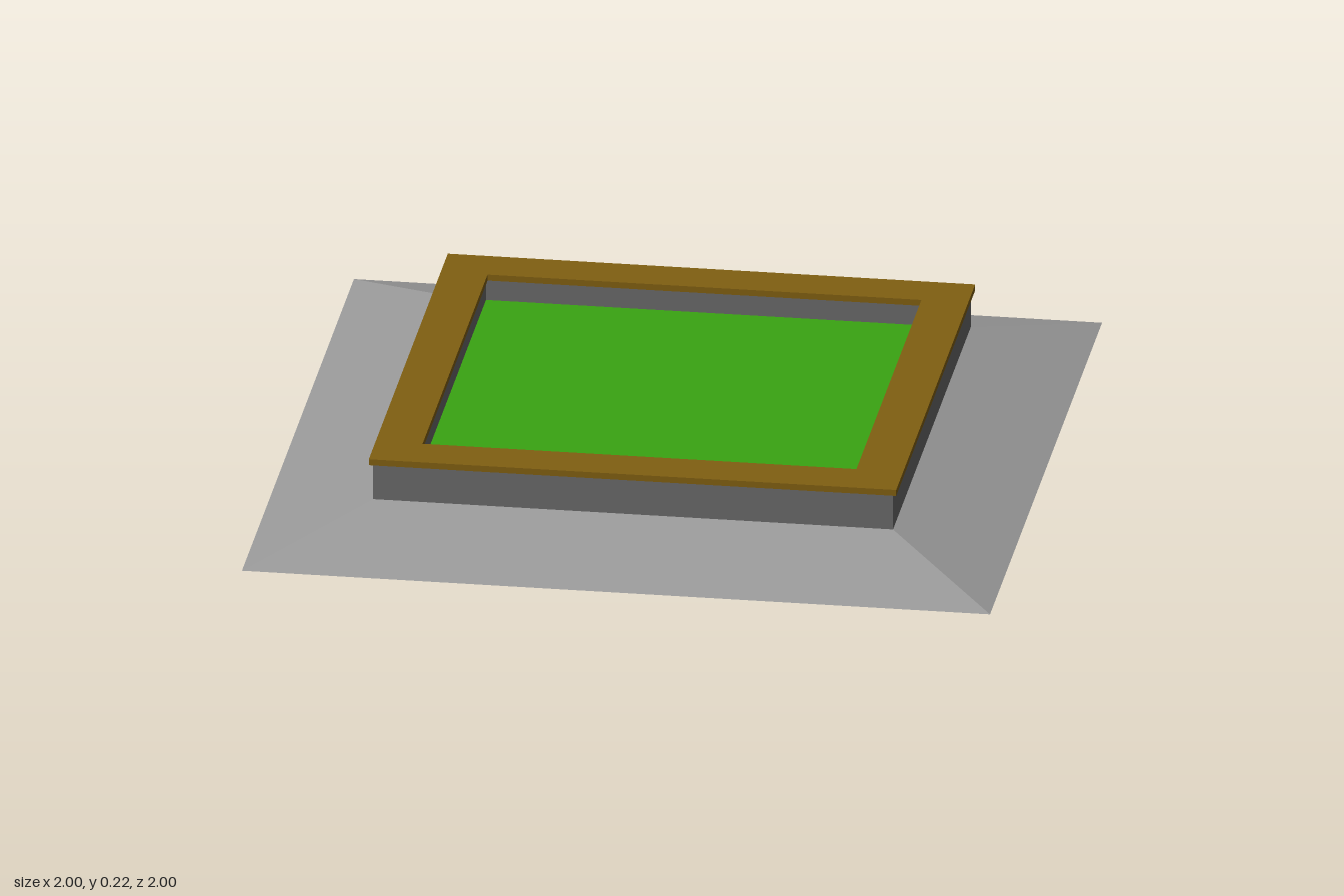
import * as THREE from 'three';

const slopeGrey = new THREE.MeshStandardMaterial({ name: 'pale stone', color: 0x999999, flatShading: true });
const wallGrey = new THREE.MeshStandardMaterial({ name: 'dark stone', color: 0x696969, flatShading: true });
const brown = new THREE.MeshStandardMaterial({ name: 'brown trim', color: 0x805f11, flatShading: true });
const green = new THREE.MeshStandardMaterial({ name: 'grass green', color: 0x3aa412, flatShading: true });

// Outline of a square with the given half width
function square(PathType, h) {
  const path = new PathType();
  path.moveTo(-h, -h);
  path.lineTo(h, -h);
  path.lineTo(h, h);
  path.lineTo(-h, h);
  path.closePath();
  return path;
}

// Square frame lying flat, from height y0 to y1
function frame(outer, inner, y0, y1) {
  const shape = square(THREE.Shape, outer);
  shape.holes.push(square(THREE.Path, inner));
  const geo = new THREE.ExtrudeGeometry(shape, { depth: y1 - y0, bevelEnabled: false });
  return geo.rotateX(-Math.PI / 2).translate(0, y0, 0);
}

export function createModel() {
  const model = new THREE.Group();
  model.name = 'raisedLawn';
  const add = (name, geometry, material) => {
    const mesh = new THREE.Mesh(geometry, material);
    mesh.name = name;
    model.add(mesh);
  };

  // Sloping skirt: an open four-sided frustum
  const skirt = new THREE.CylinderGeometry(0.695 * Math.SQRT2, Math.SQRT2, 0.097, 4, 1, true);
  add('slopedSkirt', skirt.rotateY(Math.PI / 4).translate(0, 0.0485, 0), slopeGrey);

  // Underside, facing down
  add('underside', new THREE.PlaneGeometry(2, 2).rotateX(Math.PI / 2), brown);

  // Upright wall and its overhanging trim
  add('wall', frame(0.695, 0.585, 0.097, 0.198), wallGrey);
  add('trim', frame(0.705, 0.58, 0.198, 0.215), brown);

  // Sunken grass panel
  add('grass', new THREE.PlaneGeometry(1.17, 1.17).rotateX(-Math.PI / 2).translate(0, 0.14, 0), green);

  return model;
}
